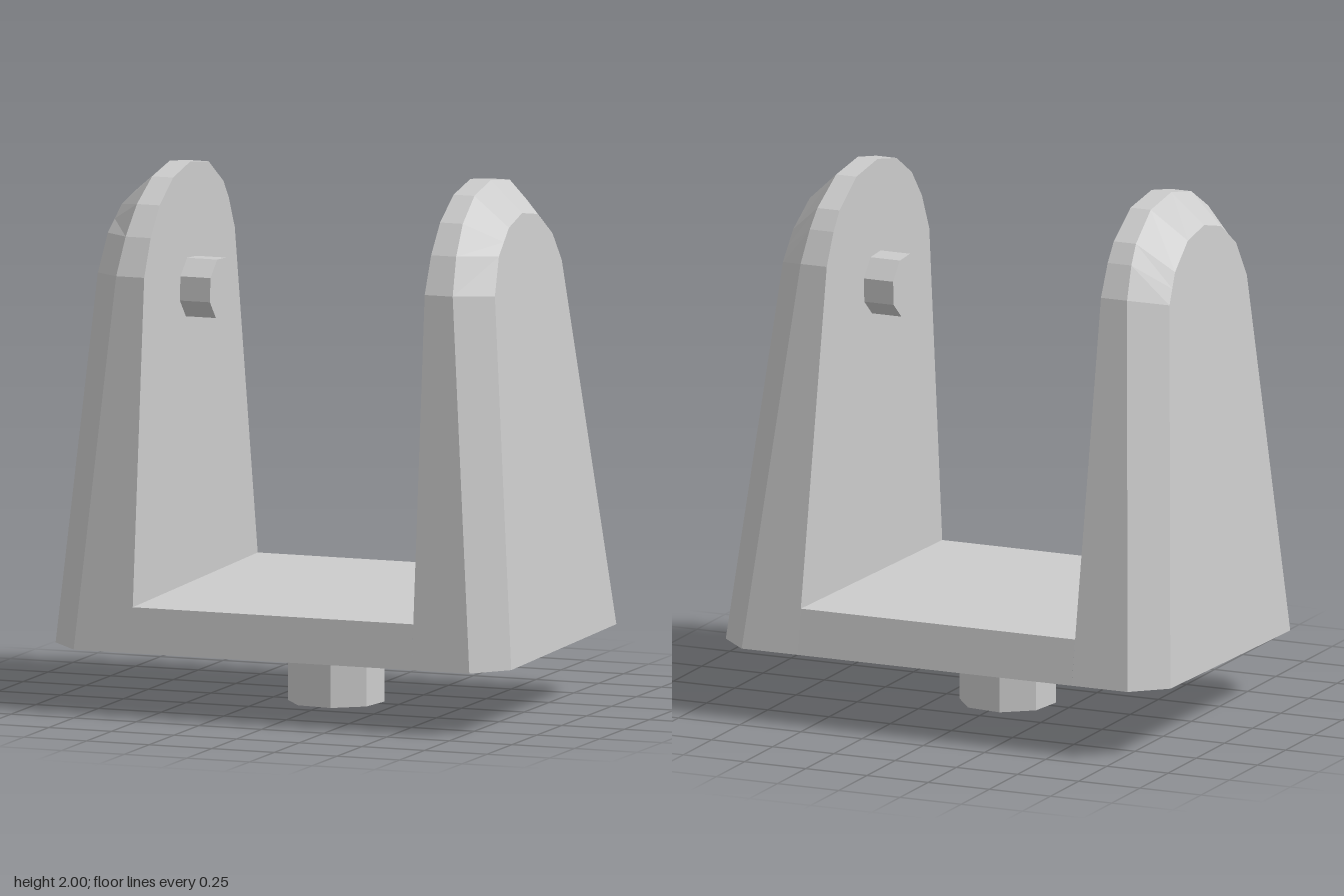
import * as THREE from 'three';

// Profiles as [z, y], running from the front foot over the crown to the back foot
const RIM = [[0.65, 0.24], [0.52, 1.63], [0.455, 1.77], [0.365, 1.88], [0.23, 1.965], [0.06, 2],
  [-0.127, 1.975], [-0.276, 1.88], [-0.33, 1.81], [-0.39, 1.69], [-0.65, 0.265]];
const FACE = [[0.53, 0.243], [0.4, 1.62], [0.33, 1.76], [0.27, 1.805], [0.21, 1.85], [0.07, 1.885],
  [-0.08, 1.86], [-0.21, 1.77], [-0.245, 1.715], [-0.28, 1.66], [-0.53, 0.263]];
const FLOOR_FRONT = [0.635, 0.41], FLOOR_BACK = [-0.62, 0.435];
const INNER_X = 0.56;

const material = new THREE.MeshStandardMaterial({ color: 0xcccccc, flatShading: true });

// Place a profile in space, with x given by a function of height
const loop = (profile, xAt) => profile.map(([z, y]) => [xAt(y), y, z]);

// Closed band of quads between two loops, as triangles
function band(a, b) {
  return a.flatMap((p, i) => {
    const j = (i + 1) % a.length;
    return [[p, b[i], b[j]], [p, b[j], a[j]]];
  });
}

// Fan over a convex loop
const cap = (l) => l.slice(2).map((p, i) => [l[0], l[i + 1], p]);

function meshFrom(name, triangles, side = 1) {
  const points = triangles.flatMap((t) => (side < 0 ? [t[0], t[2], t[1]] : t))
    .flatMap(([x, y, z]) => [x * side, y, z]);
  const geometry = new THREE.BufferGeometry();
  geometry.setAttribute('position', new THREE.Float32BufferAttribute(points, 3));
  geometry.computeVertexNormals();
  const mesh = new THREE.Mesh(geometry, material);
  mesh.name = name;
  return mesh;
}

// Tapered upright with a rounded crown and a chamfered outer edge
function arm(side) {
  const inner = loop(RIM, () => INNER_X);
  const rim = loop(RIM, (y) => 0.79 - (y - 0.24) * 0.085);
  const outer = loop(FACE, (y) => 0.91 - (y - 0.24) * 0.085);
  const innerFace = loop([FLOOR_FRONT, ...RIM.slice(1, -1), FLOOR_BACK], () => INNER_X);
  return meshFrom(side > 0 ? 'leftArm' : 'rightArm',
    [...band(inner, rim), ...band(rim, outer), ...cap(innerFace), ...cap([...outer].reverse())], side);
}

function octagonalPin(name, radius, length, turn) {
  const mesh = new THREE.Mesh(
    new THREE.CylinderGeometry(radius, radius, length, 8, 1, false, turn), material);
  mesh.name = name;
  return mesh;
}

export function createModel() {
  const group = new THREE.Group();
  group.name = 'yokeBracket';

  // Base slab joining the two arms
  const slab = [RIM[0], FLOOR_FRONT, FLOOR_BACK, RIM[RIM.length - 1]];
  group.add(meshFrom('base', band(loop(slab, () => -INNER_X), loop(slab, () => INNER_X))));

  for (const side of [1, -1]) {
    group.add(arm(side));
    // Pivot pin pointing inward
    const pin = octagonalPin(side > 0 ? 'leftPivotPin' : 'rightPivotPin', 0.118, 0.14, Math.PI / 8 + 0.06);
    pin.rotation.z = Math.PI / 2;
    pin.position.set(side * 0.51, 1.532, 0.05);
    group.add(pin);
  }

  // Mounting stem below the base
  const stem = octagonalPin('stem', 0.181, 0.27, Math.PI / 12);
  stem.position.y = 0.135;
  group.add(stem);
  return group;
}
